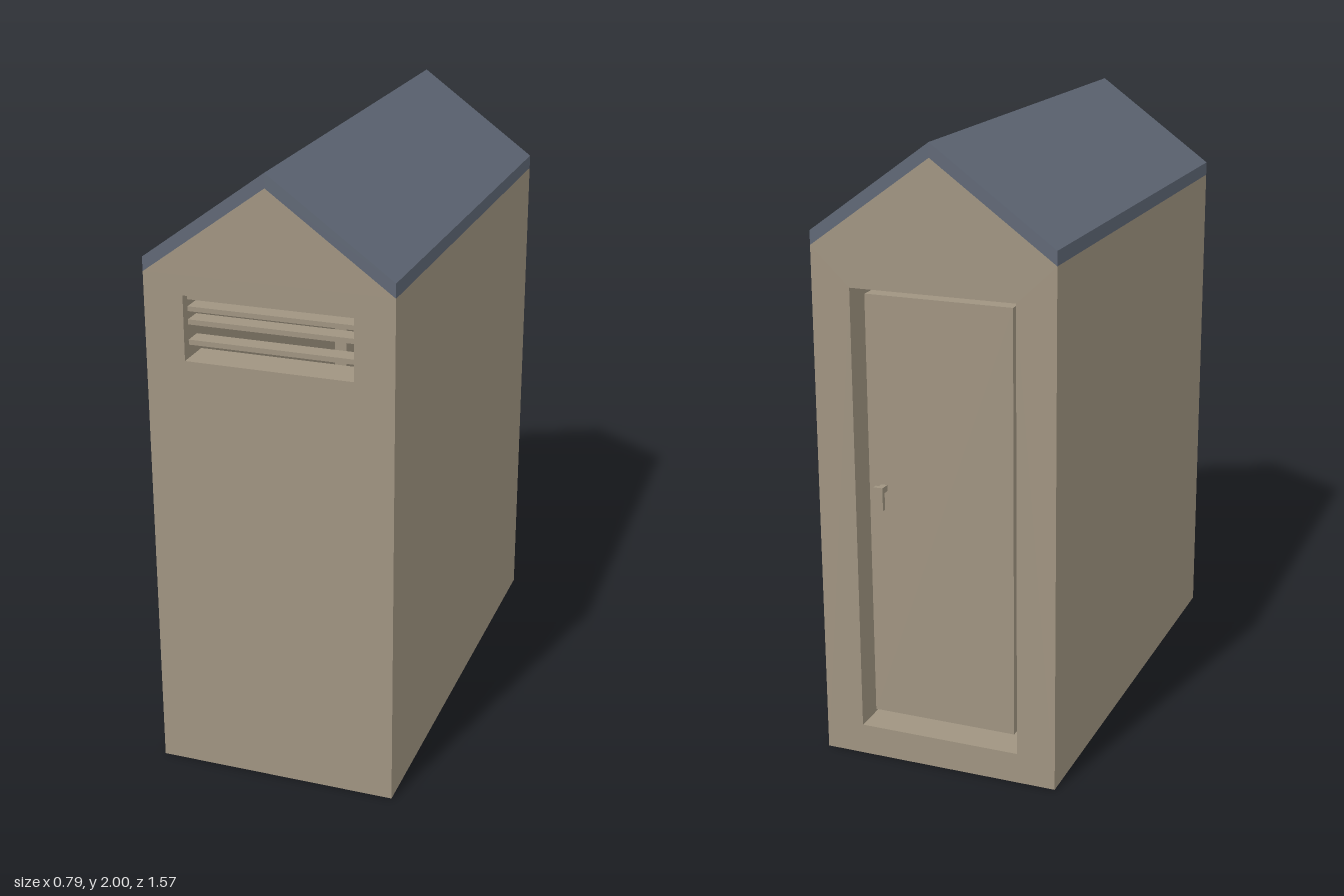
import * as THREE from 'three';

const W = 0.393, D = 0.785;        // half width, half depth
const EAVE = 1.67, APEX = 1.955;   // wall heights under the roof
const ROOF = 0.045;                // vertical roof thickness
const WALL = 0.12;                 // gable wall thickness

const tan = new THREE.MeshStandardMaterial({ color: 0xa09481 });
tan.name = 'tan panel';
const slate = new THREE.MeshStandardMaterial({ color: 0x5f6775 });
slate.name = 'slate roof';

function polygon(points, Type = THREE.Shape) {
  return new Type(points.map(([x, y]) => new THREE.Vector2(x, y)));
}

function extrude(name, shape, z0, z1, material) {
  const geometry = new THREE.ExtrudeGeometry(shape, { depth: z1 - z0, bevelEnabled: false });
  geometry.translate(0, 0, z0);
  const mesh = new THREE.Mesh(geometry, material);
  mesh.name = name;
  return mesh;
}

// Box given by its lower and upper corners
function box(name, [x0, y0, z0], [x1, y1, z1], material = tan) {
  const mesh = new THREE.Mesh(new THREE.BoxGeometry(x1 - x0, y1 - y0, z1 - z0), material);
  mesh.position.set((x0 + x1) / 2, (y0 + y1) / 2, (z0 + z1) / 2);
  mesh.name = name;
  return mesh;
}

// Gable wall with one rectangular opening
function gable(name, halfWidth, y0, y1, z0, z1) {
  const shape = polygon([[-W, 0], [W, 0], [W, EAVE], [0, APEX], [-W, EAVE]]);
  shape.holes.push(polygon([[-halfWidth, y0], [-halfWidth, y1], [halfWidth, y1], [halfWidth, y0]], THREE.Path));
  return extrude(name, shape, z0, z1, tan);
}

export function createModel() {
  const model = new THREE.Group();
  model.name = 'shed';

  // Walls and floor
  model.add(gable('frontWall', 0.267, 1.402, 1.608, D - WALL, D));
  model.add(gable('backWall', 0.267, 0.1, 1.55, -D, -D + WALL));
  for (const s of [-1, 1]) {
    const xs = [s * W, s * (W - 0.08)].sort((a, b) => a - b);
    model.add(box(s > 0 ? 'leftWall' : 'rightWall',
      [xs[0], 0, -D + WALL], [xs[1], EAVE, D - WALL]));
  }
  model.add(box('floor', [-W + 0.08, 0, -D + WALL], [W - 0.08, 0.06, D - WALL]));

  // Pitched roof, flush with the walls
  const roof = polygon([
    [-W, EAVE], [0, APEX], [W, EAVE],
    [W, EAVE + ROOF], [0, APEX + ROOF], [-W, EAVE + ROOF],
  ]);
  model.add(extrude('roof', roof, -D, D, slate));

  // Vent slats set into the front opening
  const vent = new THREE.Group();
  vent.name = 'vent';
  for (const [y0, y1] of [[1.587, 1.607], [1.55, 1.565], [1.508, 1.524], [1.444, 1.46]]) {
    vent.add(box('ventSlat', [-0.266, y0, D - 0.09], [0.266, y1, D - 0.03]));
  }
  model.add(vent);

  // Back door, set into its opening with a small gap all round
  const face = -D + 0.045;
  const door = new THREE.Group();
  door.name = 'door';
  door.add(box('doorPanel', [-0.24, 0.14, face], [0.24, 1.524, face + 0.05]));
  door.add(box('handleStem', [0.18, 0.9, face - 0.03], [0.2, 0.92, face]));
  door.add(box('handleGrip', [0.175, 0.85, face - 0.045], [0.205, 0.925, face - 0.03]));
  model.add(door);

  return model;
}
